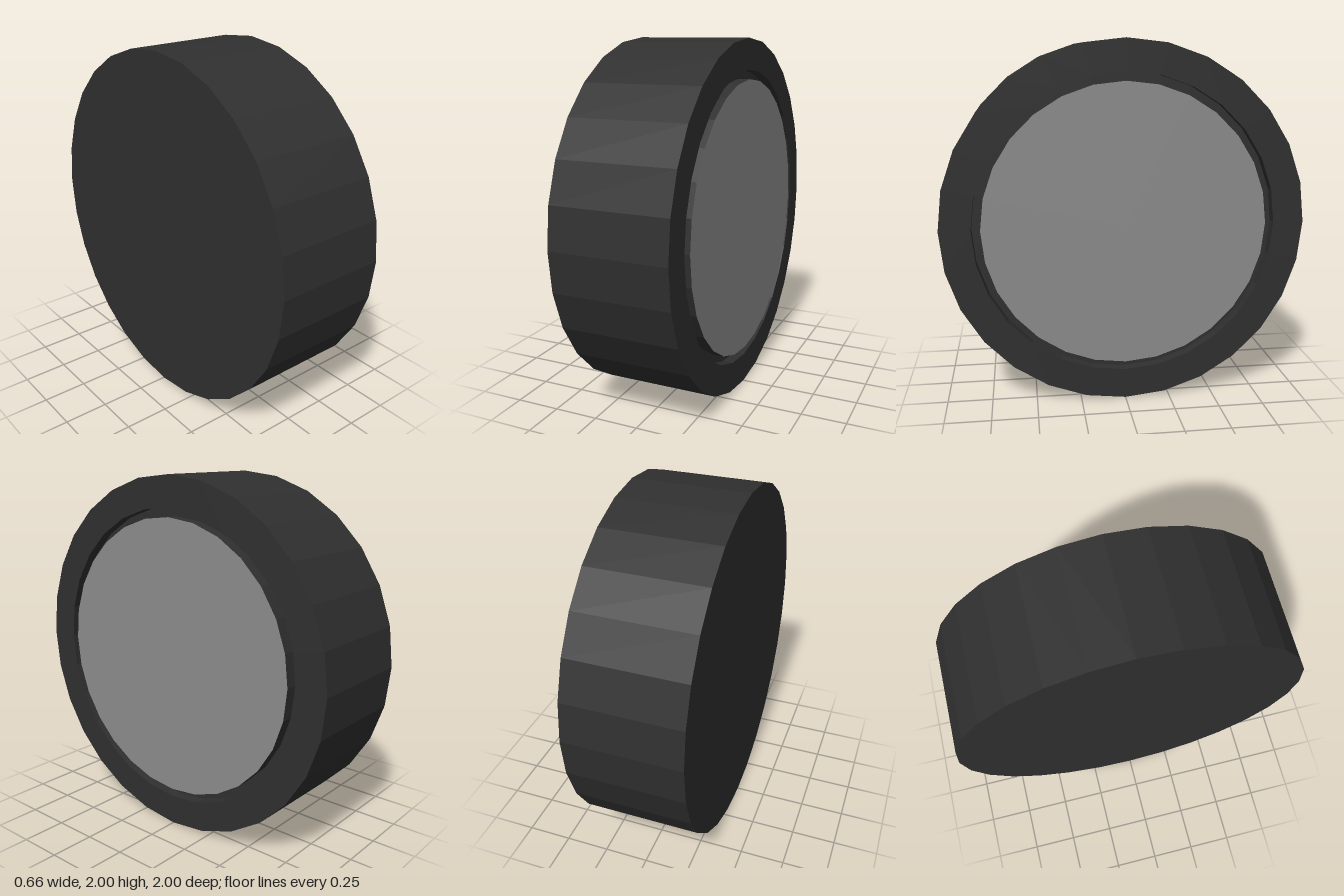
import * as THREE from 'three';

const SIDES = 28;
const BACK = -0.33, RIM = 0.32, FACE = 0.327, FLOOR = 0.26;

// Flat-shaded turned part about the x axis; profile is [radius, x] pairs
function turned(name, profile, color) {
  const geometry = new THREE.LatheGeometry(
    profile.map(([r, x]) => new THREE.Vector2(r, x)), SIDES);
  geometry.rotateZ(-Math.PI / 2);
  const material = new THREE.MeshStandardMaterial({ color, flatShading: true });
  const mesh = new THREE.Mesh(geometry, material);
  mesh.name = name;
  mesh.position.y = 1;
  return mesh;
}

export function createModel() {
  const group = new THREE.Group();
  group.name = 'wheel';

  // Closed back, tread, side wall and the groove around the hub
  group.add(turned('tire', [
    [0, BACK], [1, BACK], [1, RIM], [0.83, RIM], [0.83, FLOOR], [0.78, FLOOR],
  ], 0x303030));

  // Dark edge of the hub, standing slightly proud of the side wall
  group.add(turned('hubEdge', [[0.78, FLOOR], [0.78, FACE]], 0x303030));

  // Lighter hub face
  group.add(turned('hubFace', [[0.78, FACE], [0, FACE]], 0x8c8c8c));

  return group;
}
